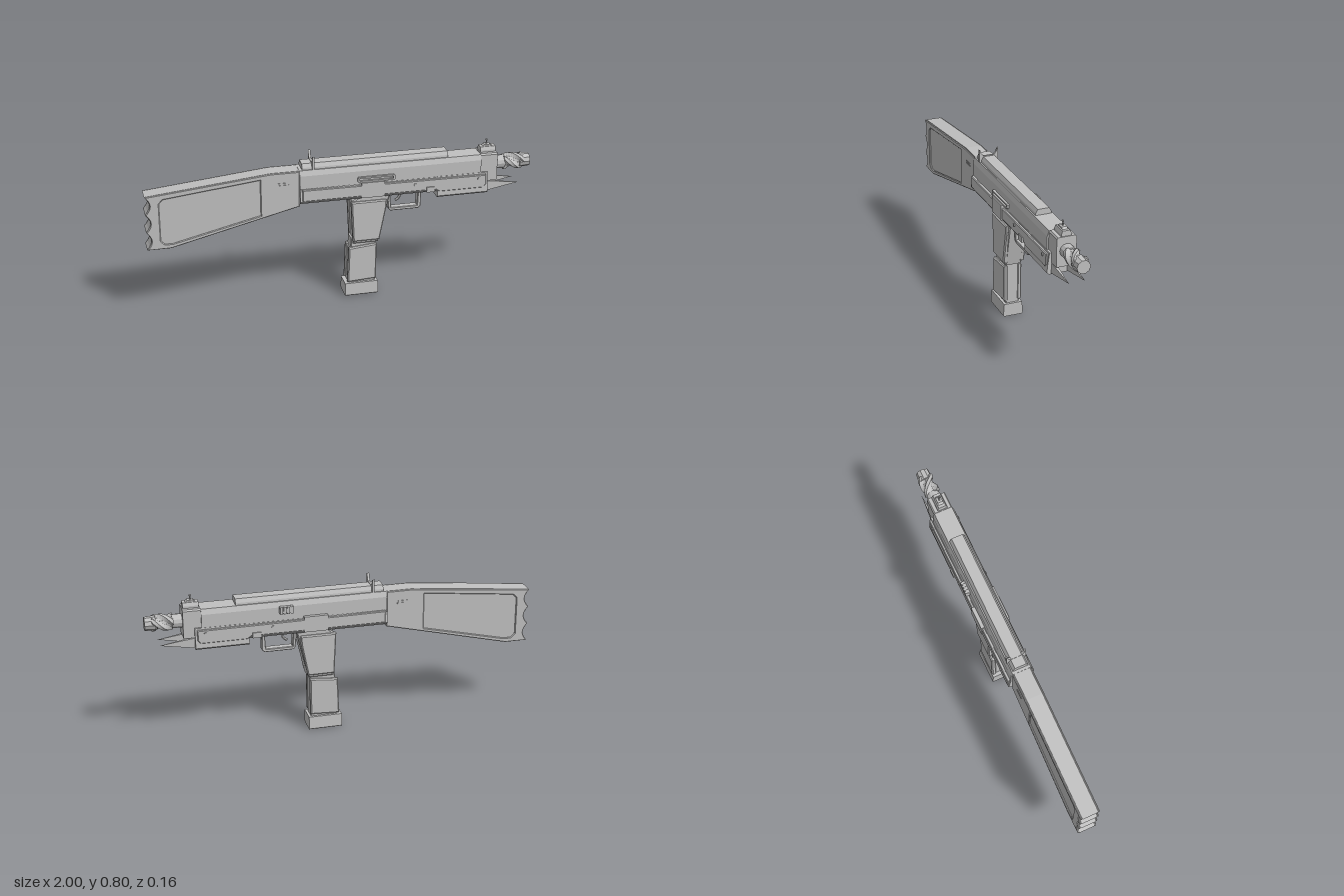
import * as THREE from 'three';

const metal = new THREE.MeshStandardMaterial({ color: 0xc0c0c0, flatShading: true });
metal.name = 'plain grey';

export function createModel() {
  const model = new THREE.Group();

  const add = (name, geo) => {
    const mesh = new THREE.Mesh(geo, metal);
    mesh.name = name;
    model.add(mesh);
    return mesh;
  };
  const shapeOf = (pts) => new THREE.Shape(pts.map(([x, y]) => new THREE.Vector2(x, y)));

  const box = (name, x0, x1, y0, y1, z0, z1) =>
    add(name, new THREE.BoxGeometry(x1 - x0, y1 - y0, z1 - z0)
      .translate((x0 + x1) / 2, (y0 + y1) / 2, (z0 + z1) / 2));

  // Side outline (x, y) extruded from z0 to z1, with a chamfer c kept inside that depth
  const slab = (name, pts, z0, z1, c = 0, hole = null) => {
    const shape = shapeOf(pts);
    if (hole) shape.holes.push(shapeOf(hole));
    return add(name, new THREE.ExtrudeGeometry(shape, {
      depth: z1 - z0 - 2 * c, bevelEnabled: c > 0, bevelSegments: 1,
      bevelThickness: c, bevelSize: c, bevelOffset: -c,
    }).translate(0, 0, z0 + c));
  };

  // Half section (z, y), mirrored across z = 0 and extruded from x0 to x1
  const beam = (name, half, x0, x1) => {
    const pts = [...half, ...half.map(([z, y]) => [-z, y]).reverse()];
    return add(name, new THREE.ExtrudeGeometry(shapeOf(pts), { depth: x1 - x0, bevelEnabled: false })
      .rotateY(Math.PI / 2).translate(x0, 0, 0));
  };

  const rod = (name, x0, x1, r0, r1, sides, y) =>
    add(name, new THREE.CylinderGeometry(r1, r0, x1 - x0, sides)
      .rotateZ(-Math.PI / 2).translate((x0 + x1) / 2, y, 0));

  // Shoulder stock: core plus side skins that leave a sunken panel
  const back = [];
  for (let i = 1; i < 18; i++) {
    back.push([-1 + 0.024 * Math.abs(Math.sin(i * Math.PI / 6)), 0.375 + 0.285 * i / 18]);
  }
  const stock = [[-1, 0.375], [-0.88, 0.375], [-0.225, 0.535], [-0.225, 0.725],
    [-0.37, 0.725], [-1, 0.66], ...back.reverse()];
  const panel = [[-0.93, 0.42], [-0.91, 0.4], [-0.87, 0.4], [-0.425, 0.505],
    [-0.425, 0.695], [-0.91, 0.64], [-0.93, 0.62]];
  slab('stockCore', stock, -0.042, 0.042);
  slab('stockSkinLeft', stock, 0.042, 0.051, 0.004, panel);
  slab('stockSkinRight', stock, -0.051, -0.042, 0.004, panel);

  // Receiver
  beam('receiver', [[0.05, 0.57], [0.058, 0.62], [0.058, 0.7], [0.048, 0.727]], -0.225, 0.725);
  beam('frontBlock', [[0.05, 0.58], [0.05, 0.722], [0.044, 0.73]], 0.725, 0.815);
  beam('lowerReceiver', [[0.06, 0.553], [0.07, 0.565], [0.06, 0.63]], -0.225, 0.5);
  beam('foreEnd', [[0.063, 0.521], [0.072, 0.53], [0.07, 0.56], [0.06, 0.632]], 0.49, 0.76);
  beam('topRail', [[0.042, 0.725], [0.04, 0.738], [0.03, 0.757]], -0.21, 0.55);

  // Details on both sides
  for (const s of [1, -1]) {
    const side = s > 0 ? 'Left' : 'Right';
    const zs = (a, b) => (s > 0 ? [a, b] : [-b, -a]);
    slab('bodyPanel' + side, [[-0.215, 0.567], [0.48, 0.567], [0.5, 0.553], [0.735, 0.553],
      [0.75, 0.57], [0.75, 0.624], [-0.215, 0.63]], ...zs(0.05, 0.073), 0.004);
    box('sideCover' + side, 0.088, 0.21, 0.56, 0.642, ...zs(0.05, 0.077));
    box('catch' + side, 0.43, 0.475, 0.558, 0.586, ...zs(0.05, 0.079));
    box('stockSlotUpper' + side, -0.335, -0.285, 0.666, 0.671, ...zs(0.048, 0.054));
    box('stockSlotLower' + side, -0.33, -0.28, 0.655, 0.66, ...zs(0.048, 0.054));
    for (const x of [0.37, 0.71]) {
      add('screw' + side, new THREE.CylinderGeometry(0.008, 0.008, 0.014, 8)
        .rotateX(Math.PI / 2).translate(x, 0.605, s * 0.071));
    }

    // Pointed prong ahead of the fore-end
    const prong = new THREE.CylinderGeometry(0.0001, 0.7071, 1, 4, 1)
      .rotateY(Math.PI / 4).rotateZ(-Math.PI / 2);
    prong.scale(0.185, 0.056, 0.022).translate(0.8425, 0.552, s * 0.04);
    add('prong' + side, prong);

    // Grip and magazine cheeks
    slab('gripCheek' + side, [[0.05, 0.31], [0.19, 0.31], [0.225, 0.49], [0.225, 0.53], [0.04, 0.53]],
      ...zs(0.03, 0.058), 0.006);
    slab('magazineCheek' + side, [[0.023, 0.077], [0.176, 0.085], [0.178, 0.285], [0.03, 0.272]],
      ...zs(0.025, 0.049), 0.006);
  }
  slab('slotFrame', [[0.075, 0.642], [0.26, 0.642], [0.266, 0.648], [0.266, 0.664],
    [0.26, 0.67], [0.075, 0.67], [0.07, 0.664], [0.07, 0.648]], 0.05, 0.07, 0,
  [[0.08, 0.65], [0.256, 0.65], [0.256, 0.662], [0.08, 0.662]]);

  // Ribbed charging handle on the right side
  box('chargingHandle', 0.265, 0.335, 0.672, 0.705, -0.074, -0.05);
  for (let i = 0; i < 4; i++) {
    box('handleRib', 0.267 + i * 0.018, 0.279 + i * 0.018, 0.67, 0.707, -0.081, -0.06);
  }

  // Grip, magazine and foot
  slab('gripCore', [[0.055, 0.293], [0.185, 0.293], [0.24, 0.53], [0.25, 0.56], [0.09, 0.56], [0.05, 0.53]],
    -0.045, 0.045, 0.006);
  slab('magazineCore', [[0.03, 0.06], [0.172, 0.06], [0.175, 0.32], [0.045, 0.32]], -0.036, 0.036, 0.004);
  beam('magazineFoot', [[0.048, 0], [0.054, 0.005], [0.049, 0.07]], 0.01, 0.185);

  // Trigger and guard
  slab('triggerGuard', [[0.235, 0.56], [0.245, 0.46], [0.255, 0.449], [0.405, 0.449], [0.418, 0.462], [0.418, 0.56]],
    -0.02, 0.02, 0.003, [[0.253, 0.548], [0.26, 0.466], [0.398, 0.466], [0.402, 0.548]]);
  const bend = new THREE.CatmullRomCurve3([[0.3, 0.56], [0.31, 0.53], [0.302, 0.51], [0.285, 0.498]]
    .map(([x, y]) => new THREE.Vector3(x, y, 0)));
  add('trigger', new THREE.TubeGeometry(bend, 8, 0.007, 6));

  // Rear sight: a U-shaped plate across the rail
  const horn = [[0.034, 0.722], [0.052, 0.728], [0.052, 0.797], [0.046, 0.792], [0.04, 0.774], [0.028, 0.76]];
  beam('rearSight', horn, -0.16, -0.148);

  // Front sight
  beam('frontSightBase', [[0.026, 0.725], [0.026, 0.74], [0.019, 0.757]], 0.73, 0.81);
  slab('frontSightRamp', [[0.74, 0.752], [0.8, 0.752], [0.785, 0.766], [0.755, 0.766]], -0.014, 0.014);
  add('frontSightPin', new THREE.CylinderGeometry(0.003, 0.004, 0.03, 6).translate(0.768, 0.775, 0));
  add('frontSightBead', new THREE.SphereGeometry(0.006, 8, 6).translate(0.768, 0.788, 0));

  // Barrel and spiral muzzle brake
  rod('barrel', 0.8, 0.865, 0.035, 0.035, 12, 0.66);
  rod('muzzleCore', 0.86, 0.97, 0.028, 0.028, 10, 0.66);
  const star = [];
  for (let i = 0; i < 12; i++) {
    const r = i % 4 < 2 ? 0.043 : 0.028;
    star.push([r * Math.cos(i * Math.PI / 6), r * Math.sin(i * Math.PI / 6)]);
  }
  const spiral = new THREE.ExtrudeGeometry(shapeOf(star), { depth: 0.105, steps: 10, bevelEnabled: false });
  const p = spiral.attributes.position;
  for (let i = 0; i < p.count; i++) {
    const v = new THREE.Vector3().fromBufferAttribute(p, i);
    v.applyAxisAngle(new THREE.Vector3(0, 0, 1), v.z * 24);
    p.setXYZ(i, v.x, v.y, v.z);
  }
  spiral.rotateY(Math.PI / 2).translate(0.86, 0.66, 0).computeVertexNormals();
  add('muzzleSpiral', spiral);
  rod('muzzleTip', 0.945, 1, 0.038, 0.034, 10, 0.66);

  return model;
}
